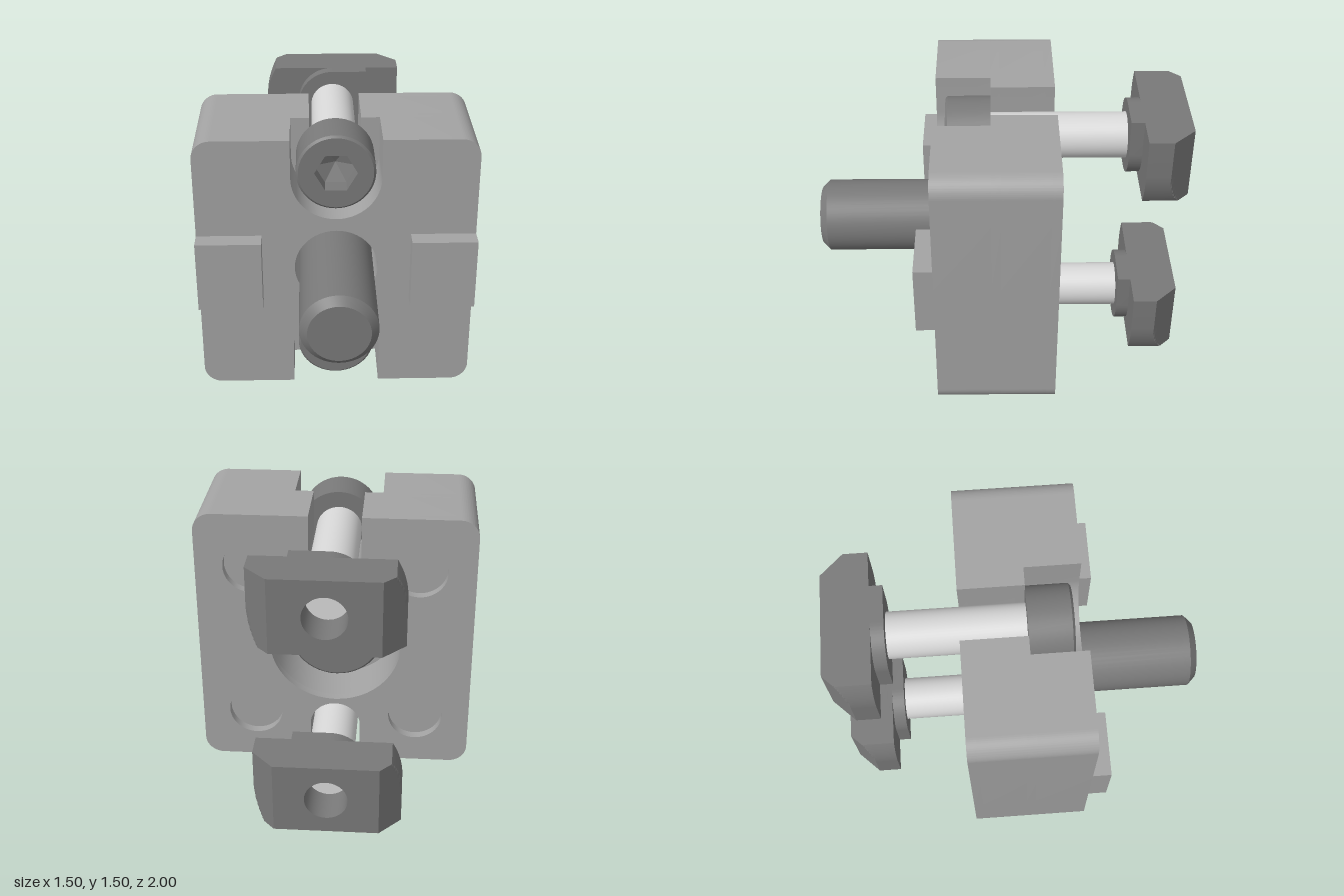
import * as THREE from 'three';
import { toCreasedNormals } from 'three/addons/utils/BufferGeometryUtils.js';

const PI = Math.PI;
const TOP = 1.285, BOTTOM = 0.22, MID = 0.75; // screw heights

export function createModel() {
  const model = new THREE.Group();
  const blockGrey = new THREE.MeshStandardMaterial({ color: 0xa3a3a3 });
  blockGrey.name = 'blockGrey';
  const darkSteel = new THREE.MeshStandardMaterial({ color: 0x797979 });
  darkSteel.name = 'darkSteel';
  const brightSteel = new THREE.MeshStandardMaterial({ color: 0xd8d8d8 });
  brightSteel.name = 'brightSteel';

  const add = (parent, name, geo, mat) => {
    const mesh = new THREE.Mesh(toCreasedNormals(geo, 0.3), mat);
    mesh.name = name;
    parent.add(mesh);
    return mesh;
  };
  const circle = (x, y, r) => new THREE.Path().absarc(x, y, r, 0, 2 * PI, true);
  const extrude = (shape, z0, z1, steps = 1) =>
    new THREE.ExtrudeGeometry(shape, { depth: z1 - z0, steps, bevelEnabled: false, curveSegments: 24 })
      .translate(0, 0, z0);
  // Solid of revolution around z
  const latheZ = (points, segments = 48, start = 0) =>
    new THREE.LatheGeometry(points.map(p => new THREE.Vector2(...p)), segments, start).rotateX(PI / 2);

  // Block: layers with a rounded outline and open slots at top and bottom
  function blockLayer(slot, z0, z1, holes) {
    const s = new THREE.Shape();
    s.moveTo(0.75, 0.1);
    s.lineTo(0.75, 1.4);
    s.absarc(0.65, 1.4, 0.1, 0, PI / 2);
    s.lineTo(slot, 1.5);
    s.lineTo(slot, TOP);
    s.absarc(0, TOP, slot, 0, -PI, true);
    s.lineTo(-slot, 1.5);
    s.absarc(-0.65, 1.4, 0.1, PI / 2, PI);
    s.absarc(-0.65, 0.1, 0.1, PI, 1.5 * PI);
    s.lineTo(-slot, 0);
    s.lineTo(-slot, BOTTOM);
    s.absarc(0, BOTTOM, slot, PI, 0, true);
    s.lineTo(slot, 0);
    s.absarc(0.65, 0.1, 0.1, 1.5 * PI, 2 * PI);
    s.holes.push(...holes);
    return extrude(s, z0, z1);
  }
  const block = new THREE.Group();
  block.name = 'block';
  model.add(block);
  const pockets = [];
  for (const x of [-0.45, 0.45]) for (const y of [0.3, 1.2]) pockets.push(circle(x, y, 0.15));
  add(block, 'backLayer', blockLayer(0.14, -0.3, -0.25, [circle(0, MID, 0.36), ...pockets]), blockGrey);
  add(block, 'counterboreLayer', blockLayer(0.14, -0.25, 0, [circle(0, MID, 0.36)]), blockGrey);
  add(block, 'middleLayer', blockLayer(0.14, 0, 0.05, [circle(0, MID, 0.225)]), blockGrey);
  add(block, 'frontLayer', blockLayer(0.24, 0.05, 0.35, [circle(0, MID, 0.225)]), blockGrey);

  // Locating tabs on the front
  for (const side of [-1, 1]) {
    add(block, 'tab', new THREE.BoxGeometry(0.35, 0.4, 0.1), blockGrey).position.set(side * 0.575, MID, 0.4);
  }

  // Screw: socket faces +z, underside of the head at z = 0, shaft towards -z
  function screw(name, headR, headH, hexR, shaftR, length, chamfer, shaftMat) {
    const g = new THREE.Group();
    g.name = name;
    const c = 0.012;
    add(g, 'head', latheZ([[0, 0], [headR, 0], [headR, headH - c], [headR - c, headH]]), darkSteel);
    const face = new THREE.Shape().absarc(0, 0, headR - c, 0, 2 * PI);
    const hex = new THREE.Path();
    for (let i = 0; i < 6; i++) {
      const a = -i * PI / 3, x = hexR * Math.cos(a), y = hexR * Math.sin(a);
      if (i) hex.lineTo(x, y); else hex.moveTo(x, y);
    }
    hex.closePath();
    face.holes.push(hex);
    add(g, 'headFace', new THREE.ShapeGeometry(face, 24).translate(0, 0, headH), darkSteel);
    const floor = headH - 0.1;
    add(g, 'hexSocket', latheZ([[hexR, headH], [hexR, floor], [0, floor - 0.05]], 6, PI / 2), darkSteel);
    add(g, 'shaft', latheZ([[0, -length], [shaftR - chamfer, -length], [shaftR, -length + chamfer], [shaftR, 0]]), shaftMat);
    return g;
  }

  // Plate outline with two opposite corners rounded, so the nut can turn in its groove
  function turnShape(w, h) {
    const a = Math.asin(h / w);
    const s = new THREE.Shape();
    s.moveTo(w, 0);
    s.lineTo(w, h);
    s.lineTo(-w * Math.cos(a), h);
    s.absarc(0, 0, w, PI - a, PI);
    s.lineTo(-w, -h);
    s.lineTo(w * Math.cos(a), -h);
    s.absarc(0, 0, w, -a, 0);
    s.holes.push(circle(0, 0, 0.113));
    return s;
  }
  function slotNut() {
    const g = new THREE.Group();
    g.name = 'slotNut';
    const body = extrude(turnShape(0.39, 0.2), -1, -0.75, 25);
    // Slope the two ends towards the back
    const p = body.attributes.position;
    for (let i = 0; i < p.count; i++) {
      const t = Math.min(1, (p.getZ(i) + 1) / 0.12);
      const limit = 0.275 + 0.115 * t;
      p.setX(i, THREE.MathUtils.clamp(p.getX(i), -limit, limit));
    }
    add(g, 'nutBody', body, darkSteel);
    add(g, 'nutNeck', extrude(turnShape(0.2, 0.2), -0.75, -0.68), darkSteel);
    return g;
  }

  // Upper and lower clamping screws with their nuts
  for (const y of [TOP, BOTTOM]) {
    const bolt = screw('clampScrew', 0.2125, 0.24, 0.115, 0.125, 0.85, 0.01, brightSteel);
    bolt.position.set(0, y, 0.05);
    const nut = slotNut();
    nut.position.y = y;
    model.add(bolt, nut);
  }

  // Centre screw, inserted from the back
  const centre = screw('centreScrew', 0.26, 0.2, 0.14, 0.2, 1, 0.04, darkSteel);
  centre.rotation.y = PI;
  centre.position.y = MID;
  model.add(centre);

  return model;
}
